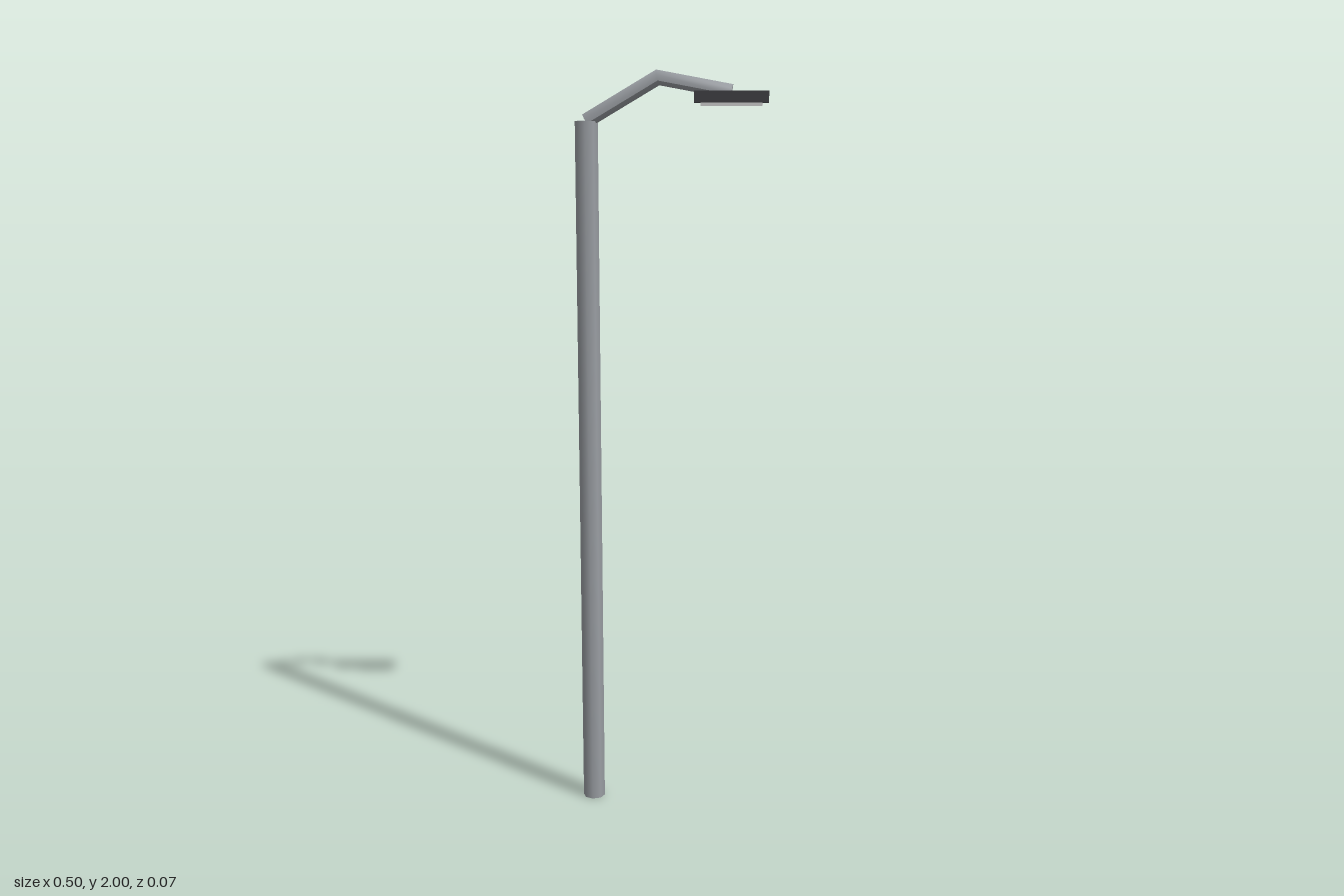
import * as THREE from 'three';

const POLE_X = -0.22, POLE_TOP = 1.872;

function part(name, geometry, color, x = 0, y = 0) {
  const mesh = new THREE.Mesh(geometry, new THREE.MeshStandardMaterial({ color }));
  mesh.name = name;
  mesh.position.set(x, y, 0);
  return mesh;
}

// Octagonal tube through three points in the x-y plane, mitred at the bend
function bentTube(points, radius) {
  const first = points[1].clone().sub(points[0]).normalize();
  const last = points[2].clone().sub(points[1]).normalize();
  const middle = first.clone().add(last).normalize();
  const directions = [first, middle, last];
  const stretch = [1, 1 / middle.dot(first), 1];

  const geometry = new THREE.CylinderGeometry(radius, radius, 2, 8, 2, false, Math.PI / 8);
  const pos = geometry.attributes.position;
  for (let i = 0; i < pos.count; i++) {
    const ring = Math.round(pos.getY(i)) + 1;
    const d = directions[ring], p = points[ring];
    const offset = pos.getX(i) * stretch[ring];
    pos.setXY(i, p.x + d.y * offset, p.y - d.x * offset);
  }
  geometry.computeVertexNormals();
  return geometry;
}

export function createModel() {
  const group = new THREE.Group();
  group.name = 'streetLight';
  const metal = 0x9a9ea3;

  // Upright pole
  group.add(part('pole', new THREE.CylinderGeometry(0.03, 0.03, POLE_TOP, 8), metal, POLE_X, POLE_TOP / 2));

  // Bent arm rising from the pole and dipping to the lamp
  const path = [
    new THREE.Vector2(POLE_X, POLE_TOP),
    new THREE.Vector2(-0.035, 1.98),
    new THREE.Vector2(0.154, 1.945),
  ];
  group.add(part('arm', bentTube(path, 0.02), metal));

  // Lamp housing with the light panel below it
  group.add(part('lampHousing', new THREE.BoxGeometry(0.188, 0.03, 0.074), 0x3e3e42, 0.154, 1.932));
  group.add(part('lightPanel', new THREE.BoxGeometry(0.156, 0.012, 0.054), 0xcccccc, 0.154, 1.915));

  return group;
}
